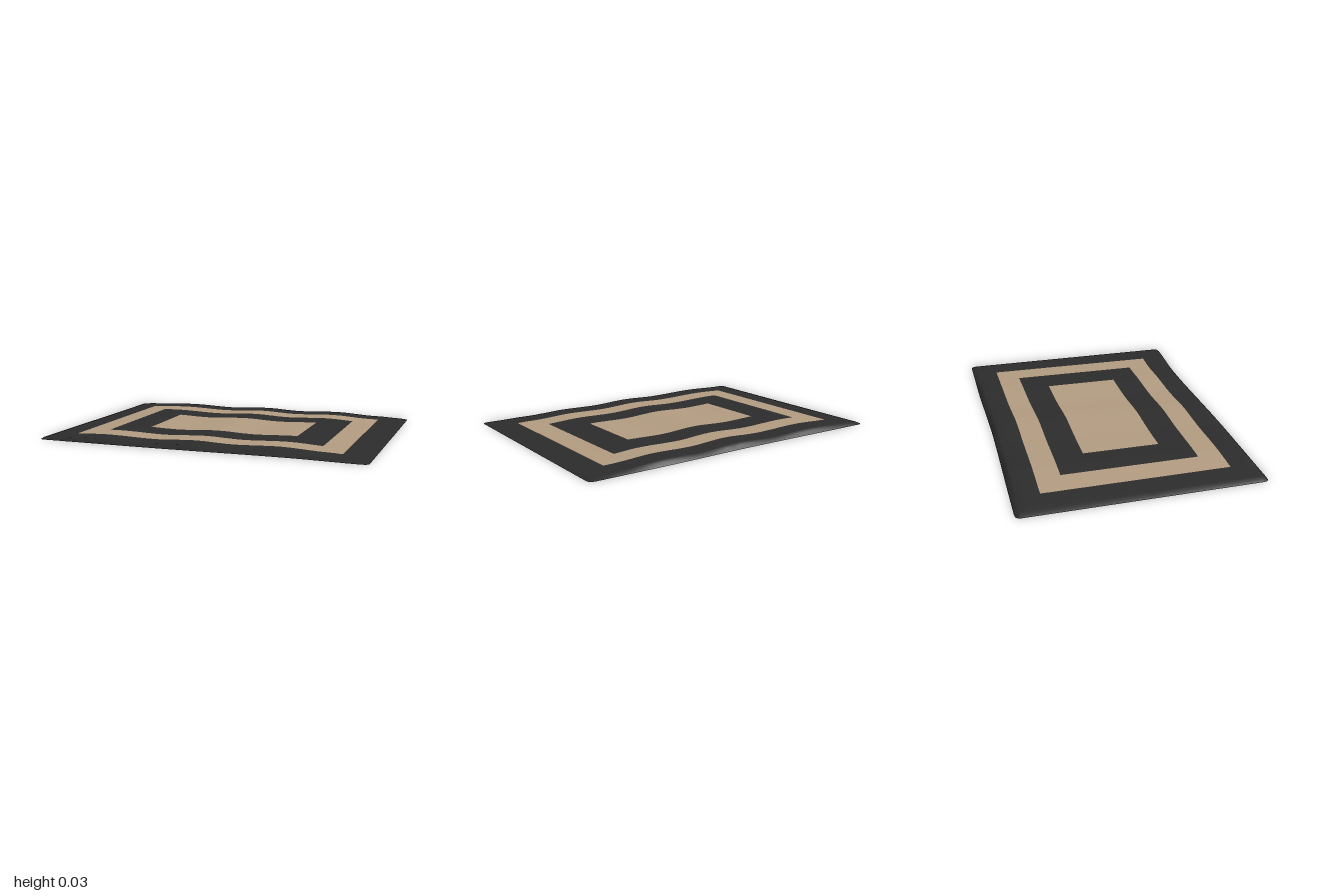
import * as THREE from 'three';

// half sizes of the nested rectangles, from the rim inwards
const X_KNOTS = [0.993, 0.975, 0.95, 0.82, 0.675, 0.475];
const Z_KNOTS = [0.706, 0.69, 0.67, 0.545, 0.405, 0.23];
const DIVISIONS = [1, 1, 3, 3, 4];

// grid lines that fall exactly on the colour borders; ring = nesting level of each cell
function gridLines(knots, middle) {
  const lines = [], rings = [];
  knots.slice(0, -1).forEach((k, i) => {
    for (let s = 0; s < DIVISIONS[i]; s++) {
      lines.push(-(k + (knots[i + 1] - k) * s / DIVISIONS[i]));
      rings.push(i);
    }
  });
  const inner = knots[knots.length - 1];
  const half = lines.length;
  for (let s = 0; s <= middle; s++) lines.push(-inner + 2 * inner * s / middle);
  for (let s = 0; s < middle; s++) rings.push(5);
  for (let i = half - 1; i >= 0; i--) {
    lines.push(-lines[i]);
    rings.push(rings[i]);
  }
  return { lines, rings };
}

// smooth curve through a few [position, value] points
function profile(points) {
  return (t) => {
    const last = points.length - 1;
    if (t <= points[0][0]) return points[0][1];
    for (let i = 0; i < last; i++) {
      const [a, va] = points[i], [b, vb] = points[i + 1];
      if (t <= b) return va + (vb - va) * THREE.MathUtils.smoothstep(t, a, b);
    }
    return points[last][1];
  };
}

// gentle folds across the cloth
const foldHeight = profile([[-1, 0.013], [-0.92, 0.019], [-0.58, 0.03], [-0.28, 0.022],
  [-0.02, 0.032], [0.22, 0.022], [0.48, 0.029], [0.75, 0.017], [1, 0.007]]);
// uneven hems along the back and front
const backHem = profile([[-1, 0], [-0.1, 0.006], [0.6, -0.008], [1, -0.009]]);
const frontHem = profile([[-1, 0.006], [-0.4, 0.005], [0.55, -0.015], [0.97, 0.003]]);

function clothPoint(x, z) {
  const edge = Math.min((0.993 - Math.abs(x)) / 0.03, (0.706 - Math.abs(z)) / 0.03, 1);
  const lift = THREE.MathUtils.smoothstep(edge, -0.5, 1);
  const slant = 1 - 0.12 * z / 0.7;
  const y = 0.003 + (foldHeight(x + 0.05 * z) * slant - 0.003) * Math.max(0, (lift - 0.26) / 0.74);

  // round the corners
  const r = 0.03, cx = Math.abs(x) - (0.993 - r), cz = Math.abs(z) - (0.706 - r);
  let px = x, pz = z;
  if (cx > 0 && cz > 0) {
    const k = Math.max(cx, cz) / Math.hypot(cx, cz);
    px = Math.sign(x) * (0.993 - r + cx * k);
    pz = Math.sign(z) * (0.706 - r + cz * k);
  }
  const w = (pz / 0.706 + 1) / 2;
  pz += backHem(x) * (1 - w) + frontHem(x) * w;
  px += x > 0 ? 0.006 * x * (1 - 2 * w) : 0.006 * x * (1 - 2 * w) * 0.8;
  return [px, y, pz];
}

export function createModel() {
  const dark = new THREE.MeshStandardMaterial({ color: 0x2c2c2c, side: THREE.DoubleSide });
  dark.name = 'charcoal';
  const tan = new THREE.MeshStandardMaterial({ color: 0xb29c81, side: THREE.DoubleSide });
  tan.name = 'tan';

  // one draped sheet whose vertices all the rings share
  const gx = gridLines(X_KNOTS, 20), gz = gridLines(Z_KNOTS, 10);
  const nx = gx.lines.length, nz = gz.lines.length;
  const positions = [], all = [], perPart = [[], [], [], []];
  for (const z of gz.lines) for (const x of gx.lines) positions.push(...clothPoint(x, z));
  for (let j = 0; j < nz - 1; j++) {
    for (let i = 0; i < nx - 1; i++) {
      const a = j * nx + i, b = a + 1, c = a + nx, d = c + 1;
      // turn the diagonal in two corners so it runs along the rounding
      const flip = (i < nx / 2) === (j < nz / 2);
      const faces = flip ? [a, c, b, b, c, d] : [a, c, d, a, d, b];
      const ring = Math.min(gx.rings[i], gz.rings[j]);
      all.push(...faces);
      perPart[Math.max(0, ring - 2)].push(...faces);
    }
  }
  const sheet = new THREE.BufferGeometry();
  sheet.setAttribute('position', new THREE.Float32BufferAttribute(positions, 3));
  sheet.setIndex(all);
  sheet.computeVertexNormals();

  // nested coloured rings of the rug
  const rug = new THREE.Group();
  rug.name = 'rug';
  ['outerBorder', 'outerBand', 'innerBorder', 'centrePanel'].forEach((name, i) => {
    const geometry = new THREE.BufferGeometry();
    geometry.setAttribute('position', sheet.getAttribute('position'));
    geometry.setAttribute('normal', sheet.getAttribute('normal'));
    geometry.setIndex(perPart[i]);
    const mesh = new THREE.Mesh(geometry, i % 2 ? tan : dark);
    mesh.name = name;
    rug.add(mesh);
  });
  return rug;
}
